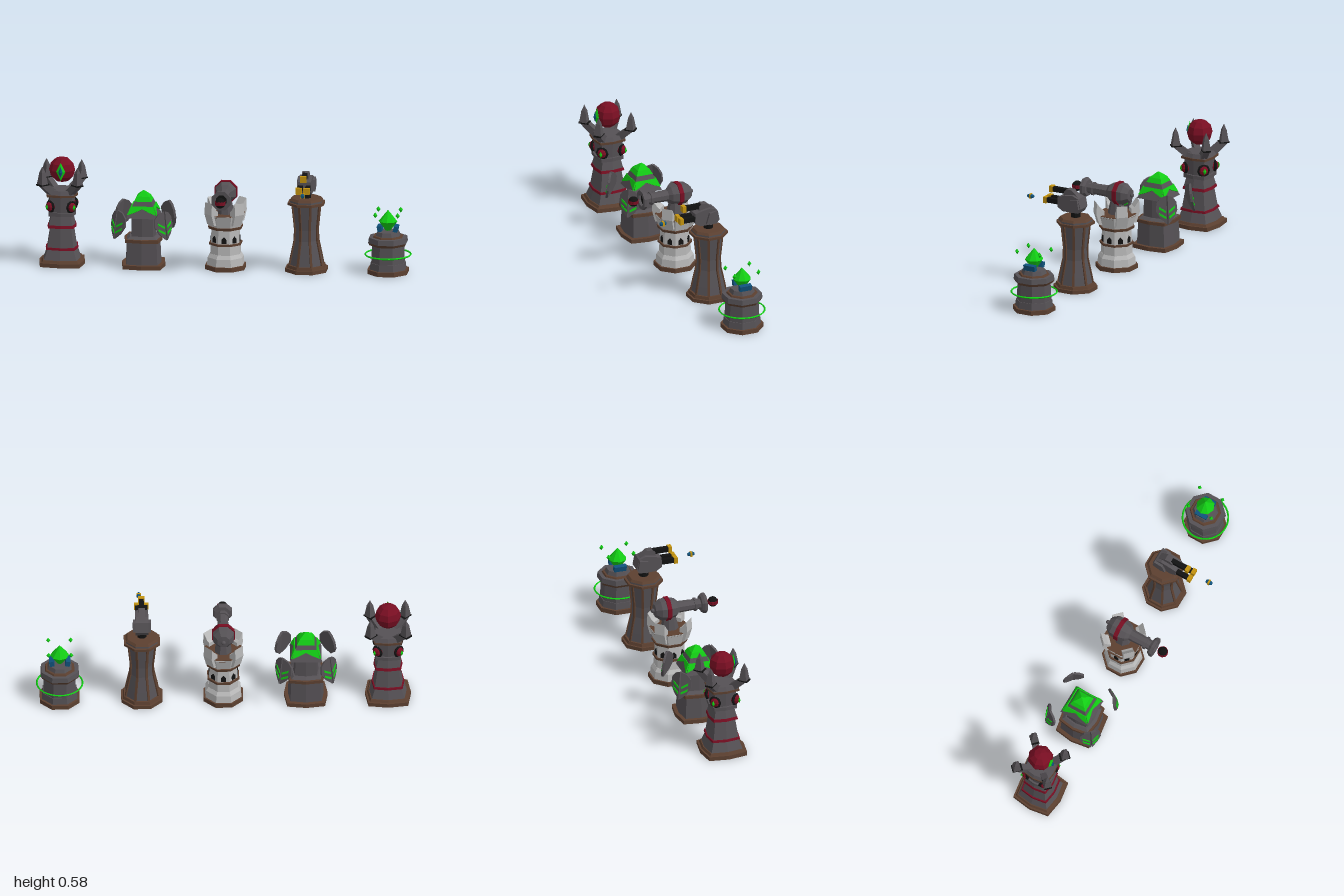
import * as THREE from 'three';

const mat = (name, color) => {
  const m = new THREE.MeshStandardMaterial({ color });
  m.name = name;
  return m;
};
const stone = mat('dark stone', 0x555155);
const wood = mat('brown trim', 0x5c4030);
const pale = mat('pale stone', 0xb8b8b8);
const red = mat('deep red', 0x780e22);
const green = mat('glowing green', 0x12cc14);
const black = mat('black iron', 0x121212);
const gold = mat('gold', 0xc4930f);
const blue = mat('blue', 0x10527c);

// Faceted mesh added to a parent
function add(parent, name, geo, material, x = 0, y = 0, z = 0) {
  const g = geo.index ? geo.toNonIndexed() : geo;
  g.computeVertexNormals();
  const m = new THREE.Mesh(g, material);
  m.name = name;
  m.position.set(x, y, z);
  parent.add(m);
  return m;
}
function group(parent, name, x = 0, y = 0, z = 0, ry = 0) {
  const g = new THREE.Group();
  g.name = name;
  g.position.set(x, y, z);
  g.rotation.y = ry;
  parent.add(g);
  return g;
}
// Regular octagonal tier; r is half the width across flats
function octTier(p, name, m, y0, y1, r0, r1) {
  const k = 1 / Math.cos(Math.PI / 8);
  return add(p, name, new THREE.CylinderGeometry(r1 * k, r0 * k, y1 - y0, 8, 1, false, Math.PI / 8), m, 0, (y0 + y1) / 2, 0);
}
// Square tier with bowed sides; corner = corner offset relative to the middle of a side
function squareTier(p, name, m, y0, y1, r0, r1, corner = 0.87) {
  const geo = new THREE.CylinderGeometry(r1, r0, y1 - y0, 8, 1);
  const a = geo.attributes.position;
  for (let i = 0; i < a.count; i++) {
    const x = a.getX(i), z = a.getZ(i);
    if (Math.abs(x) > 1e-5 && Math.abs(z) > 1e-5) a.setXYZ(i, x * corner * Math.SQRT2, a.getY(i), z * corner * Math.SQRT2);
  }
  return add(p, name, geo, m, 0, (y0 + y1) / 2, 0);
}
const plate = (pts, depth) => new THREE.ExtrudeGeometry(
  new THREE.Shape(pts.map(q => new THREE.Vector2(q[0], q[1]))), { depth, bevelEnabled: false });
// Side outline given as (z, y), extruded along x
const sideCut = (pts, width) => plate(pts, width).rotateY(-Math.PI / 2).translate(width / 2, 0, 0);
const box = (x, y, z) => new THREE.BoxGeometry(x, y, z);
const gem = (x, y, z) => new THREE.OctahedronGeometry(1).scale(x, y, z);
const lathe = (pts) => new THREE.LatheGeometry(pts.map(q => new THREE.Vector2(q[0], q[1])), 8, Math.PI / 8).rotateX(Math.PI / 2);
const around = (n, offset, fn) => { for (let i = 0; i < n; i++) fn(offset + i * 2 * Math.PI / n, i); };

function orbTower(root) {
  const t = group(root, 'orbTower', -0.878, 0, -0.06);
  squareTier(t, 'base', wood, 0, 0.022, 0.122, 0.122);
  squareTier(t, 'baseStep', wood, 0.022, 0.034, 0.112, 0.105);
  squareTier(t, 'lowerBody', stone, 0.034, 0.095, 0.1, 0.078);
  squareTier(t, 'lowerBand', red, 0.088, 0.1, 0.088, 0.086);
  squareTier(t, 'middleBody', stone, 0.1, 0.205, 0.08, 0.064);
  squareTier(t, 'upperBand', red, 0.205, 0.22, 0.078, 0.074);
  squareTier(t, 'upperBody', stone, 0.22, 0.27, 0.072, 0.06);
  squareTier(t, 'collar', stone, 0.27, 0.29, 0.074, 0.074);
  squareTier(t, 'head', stone, 0.29, 0.38, 0.064, 0.07);
  squareTier(t, 'crownTrim', wood, 0.376, 0.388, 0.084, 0.084);
  squareTier(t, 'crown', stone, 0.388, 0.41, 0.08, 0.07);
  around(4, Math.PI / 4, a => {
    // Corner eye
    const c = group(t, 'cornerEye', 0, 0.322, 0, a);
    add(c, 'orb', new THREE.SphereGeometry(0.027, 8, 6), red, 0, 0, 0.078);
    add(c, 'socket', new THREE.TorusGeometry(0.028, 0.008, 4, 8), black, 0, 0, 0.08);
    add(c, 'iris', gem(0.01, 0.018, 0.008), green, 0, 0, 0.103);
    // Curved claw
    const k = group(t, 'claw', 0, 0, 0, a);
    add(k, 'clawArm', sideCut([[0.05, 0.375], [0.09, 0.39], [0.15, 0.445], [0.105, 0.452], [0.05, 0.41]], 0.034), stone);
    add(k, 'clawPad', box(0.042, 0.008, 0.056), black, 0, 0.45, 0.131);
    const s = new THREE.CylinderGeometry(0.017, 0.03, 0.065, 4, 1, false, Math.PI / 4).translate(0, 0.0325, 0);
    add(k, 'clawSpike', s, stone, 0, 0.453, 0.133);
    add(k, 'clawTip', new THREE.ConeGeometry(0.017, 0.034, 4, 1, false, Math.PI / 4), stone, 0, 0.534, 0.133);
  });
  // Floating eye
  add(t, 'greatOrb', new THREE.SphereGeometry(0.07, 8, 6), red, 0, 0.515, 0);
  add(t, 'greatIris', gem(0.025, 0.05, 0.016), green, 0, 0.515, 0.062);
  add(t, 'greatPupil', gem(0.012, 0.03, 0.01), blue, 0, 0.515, 0.073);
}

function shieldTower(root) {
  const t = group(root, 'shieldTower', -0.44, 0, -0.06);
  squareTier(t, 'base', wood, 0, 0.022, 0.116, 0.116);
  squareTier(t, 'lowerBody', stone, 0.022, 0.145, 0.096, 0.09);
  squareTier(t, 'ledge', wood, 0.143, 0.16, 0.102, 0.102);
  squareTier(t, 'ledgeTop', stone, 0.16, 0.172, 0.09, 0.075);
  squareTier(t, 'upperBody', stone, 0.17, 0.285, 0.067, 0.064);
  squareTier(t, 'roof', stone, 0.275, 0.36, 0.084, 0.046, 1);
  squareTier(t, 'cap', green, 0.36, 0.385, 0.047, 0.034, 1);
  squareTier(t, 'capPeak', green, 0.385, 0.412, 0.034, 0.004, 1);
  // Green trim hanging to a point at each roof corner
  around(4, 0, a => {
    const s = group(t, 'roofTrim', 0, 0, 0, a);
    const m = add(s, 'trim', plate([[-0.074, 0.018], [-0.035, 0.034], [0, 0.052], [0.035, 0.034], [0.074, 0.018], [0.058, 0.066], [-0.058, 0.066]], 0.006), green, 0, 0.275, 0.083);
    m.rotation.x = -Math.atan2(0.038, 0.085);
  });
  // Floating shields, each folded down its middle
  around(4, Math.PI / 4, a => {
    const p = group(t, 'shieldPivot', 0, 0.253, 0, a);
    const s = group(p, 'shield', 0, 0, 0.18);
    s.rotation.x = -0.15;
    for (const d of [1, -1]) {
      const h = group(s, 'shieldHalf', 0, 0, 0, d * 0.3);
      const half = [[0, -0.078], [0.035, -0.045], [0.058, -0.005], [0.054, 0.04], [0.032, 0.066], [0, 0.078]];
      add(h, 'panel', plate(half.map(q => [q[0] * d, q[1]]), 0.012), stone);
      for (const y of [0, 0.032]) {
        const slash = [[0.004, -0.048], [0.04, -0.026], [0.042, -0.012], [0.004, -0.036]];
        add(h, 'slash', plate(slash.map(q => [q[0] * d, q[1] + y]), 0.004), green, 0, 0, 0.011);
      }
    }
  });
}

function cannonTower(root) {
  const t = group(root, 'cannonTower', 0, 0, -0.06);
  octTier(t, 'base', wood, 0, 0.024, 0.105, 0.105);
  octTier(t, 'foot', pale, 0.024, 0.065, 0.096, 0.092);
  octTier(t, 'footSlope', pale, 0.065, 0.085, 0.092, 0.08);
  octTier(t, 'body', pale, 0.085, 0.23, 0.079, 0.072);
  octTier(t, 'lowerRing', wood, 0.135, 0.146, 0.085, 0.085);
  octTier(t, 'upperRing', wood, 0.222, 0.236, 0.087, 0.09);
  octTier(t, 'parapet', pale, 0.236, 0.3, 0.083, 0.1);
  octTier(t, 'parapetRing', wood, 0.292, 0.302, 0.098, 0.098);
  around(8, 0, a => {
    const w = group(t, 'windowSide', 0, 0, 0, a);
    add(w, 'window', plate([[-0.013, 0], [0.013, 0], [0.013, 0.022], [0, 0.036], [-0.013, 0.022]], 0.006), black, 0, 0.15, 0.073);
  });
  around(4, Math.PI / 4, a => {
    const m = group(t, 'merlonSide', 0, 0, 0, a);
    add(m, 'merlon', sideCut([[0.075, 0.25], [0.102, 0.25], [0.12, 0.31], [0.116, 0.372], [0.09, 0.335], [0.075, 0.325]], 0.06), pale);
  });
  octTier(t, 'pedestal', stone, 0.3, 0.375, 0.045, 0.03);
  // Cannon lying along z
  const c = group(t, 'cannon', 0, 0.415, 0);
  add(c, 'breech', lathe([[0, -0.088], [0.035, -0.085], [0.058, -0.055], [0.062, -0.01], [0.05, 0.03], [0.03, 0.05]]), stone);
  add(c, 'breechBand', lathe([[0.05, -0.027], [0.066, -0.027], [0.066, -0.004], [0.05, -0.004]]), red);
  add(c, 'knob', new THREE.SphereGeometry(0.012, 8, 6), stone, 0, 0, -0.094);
  add(c, 'barrel', lathe([[0.032, 0.04], [0.028, 0.17]]), stone);
  add(c, 'barrelRing', lathe([[0.025, 0.135], [0.036, 0.135], [0.036, 0.148], [0.025, 0.148]]), stone);
  add(c, 'muzzle', lathe([[0.026, 0.17], [0.046, 0.172], [0.055, 0.185], [0.055, 0.2], [0.034, 0.2], [0.03, 0.185]]), stone);
  add(c, 'bore', lathe([[0.034, 0.186], [0, 0.186]]), black);
  add(c, 'cannonball', new THREE.SphereGeometry(0.028, 10, 8), black, 0, 0, 0.243);
  add(c, 'ballBand', new THREE.CylinderGeometry(0.029, 0.029, 0.018, 10), red, 0, 0, 0.243);
}

function gunTower(root) {
  const t = group(root, 'gunTower', 0.434, 0, -0.06);
  octTier(t, 'base', wood, 0, 0.02, 0.11, 0.11);
  octTier(t, 'baseStep', wood, 0.02, 0.036, 0.1, 0.096);
  const rows = [[0.036, 0.086], [0.08, 0.078], [0.17, 0.06], [0.23, 0.058], [0.37, 0.072]];
  rows.slice(1).forEach((r, i) => octTier(t, 'shaft', stone, rows[i][0], r[0], rows[i][1], r[1]));
  // Ribs follow the shaft on every corner
  const k = 1 / Math.cos(Math.PI / 8);
  const rib = [...rows.map(r => [r[1] * k + 0.005, r[0]]), ...rows.map(r => [r[1] * k - 0.01, r[0]]).reverse()];
  around(8, Math.PI / 8, a => add(group(t, 'ribSide', 0, 0, 0, a), 'rib', sideCut(rib, 0.012), wood));
  octTier(t, 'topTrim', wood, 0.365, 0.378, 0.096, 0.096);
  octTier(t, 'topStone', stone, 0.378, 0.388, 0.084, 0.084);
  octTier(t, 'topCap', wood, 0.388, 0.4, 0.086, 0.076);
  octTier(t, 'mount', black, 0.4, 0.44, 0.024, 0.024);
  // Turret
  const g = group(t, 'turret');
  add(g, 'housing', sideCut([[0.06, 0.43], [-0.035, 0.43], [-0.05, 0.455], [-0.035, 0.51], [0, 0.524], [0.055, 0.515], [0.09, 0.505], [0.092, 0.45]], 0.07), stone);
  add(g, 'topHousing', sideCut([[-0.03, 0.51], [0.06, 0.51], [0.06, 0.535], [0.045, 0.55], [0.015, 0.548]], 0.036), stone);
  for (const d of [1, -1]) {
    add(g, 'sideArmour', sideCut([[-0.045, 0.455], [0.0, 0.433], [0.03, 0.44], [0.012, 0.5], [-0.035, 0.508]], 0.014), stone, d * 0.041, 0, 0);
  }
  for (const [x, y, z] of [[0.021, 0.475, 0.16], [-0.021, 0.475, 0.16], [0, 0.534, 0.135]]) {
    add(g, 'gunBarrel', box(0.025, 0.026, 0.1), black, x, y, z - 0.05);
    add(g, 'gunTip', box(0.034, 0.034, 0.02), gold, x, y, z + 0.01);
  }
  // Bullet in flight
  const b = group(t, 'bullet', 0.012, 0.475, 0.27);
  add(b, 'bulletBody', lathe([[0, -0.018], [0.008, -0.018], [0.012, -0.006], [0.012, 0.006], [0.008, 0.018], [0, 0.018]]), blue);
  add(b, 'bulletBand', box(0.024, 0.024, 0.01), gold);
}

function crystalTower(root) {
  const t = group(root, 'crystalTower', 0.872, 0, -0.06);
  octTier(t, 'base', wood, 0, 0.024, 0.106, 0.106);
  octTier(t, 'foot', stone, 0.024, 0.06, 0.094, 0.09);
  octTier(t, 'body', stone, 0.06, 0.158, 0.086, 0.082);
  octTier(t, 'rimTrim', wood, 0.156, 0.17, 0.094, 0.102);
  octTier(t, 'rim', stone, 0.17, 0.198, 0.102, 0.098);
  octTier(t, 'topTrim', wood, 0.198, 0.206, 0.078, 0.074);
  octTier(t, 'topStep', stone, 0.206, 0.228, 0.064, 0.056);
  // Hovering ring
  add(t, 'ring', new THREE.TorusGeometry(0.122, 0.005, 4, 32).rotateX(Math.PI / 2), green, 0, 0.102, 0);
  // Blue blocks hold the crystal
  for (const d of [1, -1]) {
    const b = add(t, 'crystalBlock', box(0.024, 0.03, 0.068), blue, d * 0.043, 0.245, 0);
    b.rotation.z = -d * 0.2;
  }
  const bottom = new THREE.CylinderGeometry(0.05, 0.014, 0.05, 8);
  add(t, 'crystalBottom', bottom, green, 0, 0.258, 0);
  add(t, 'crystalTop', new THREE.ConeGeometry(0.05, 0.062, 8), green, 0, 0.314, 0);
  // Floating shards
  for (const x of [-0.06, 0.06]) for (const z of [-0.07, 0.07]) add(t, 'shard', gem(0.012, 0.016, 0.012), green, x, 0.33, z);
}

export function createModel() {
  const root = new THREE.Group();
  root.name = 'towerSet';
  [orbTower, shieldTower, cannonTower, gunTower, crystalTower].forEach(build => build(root));
  return root;
}
